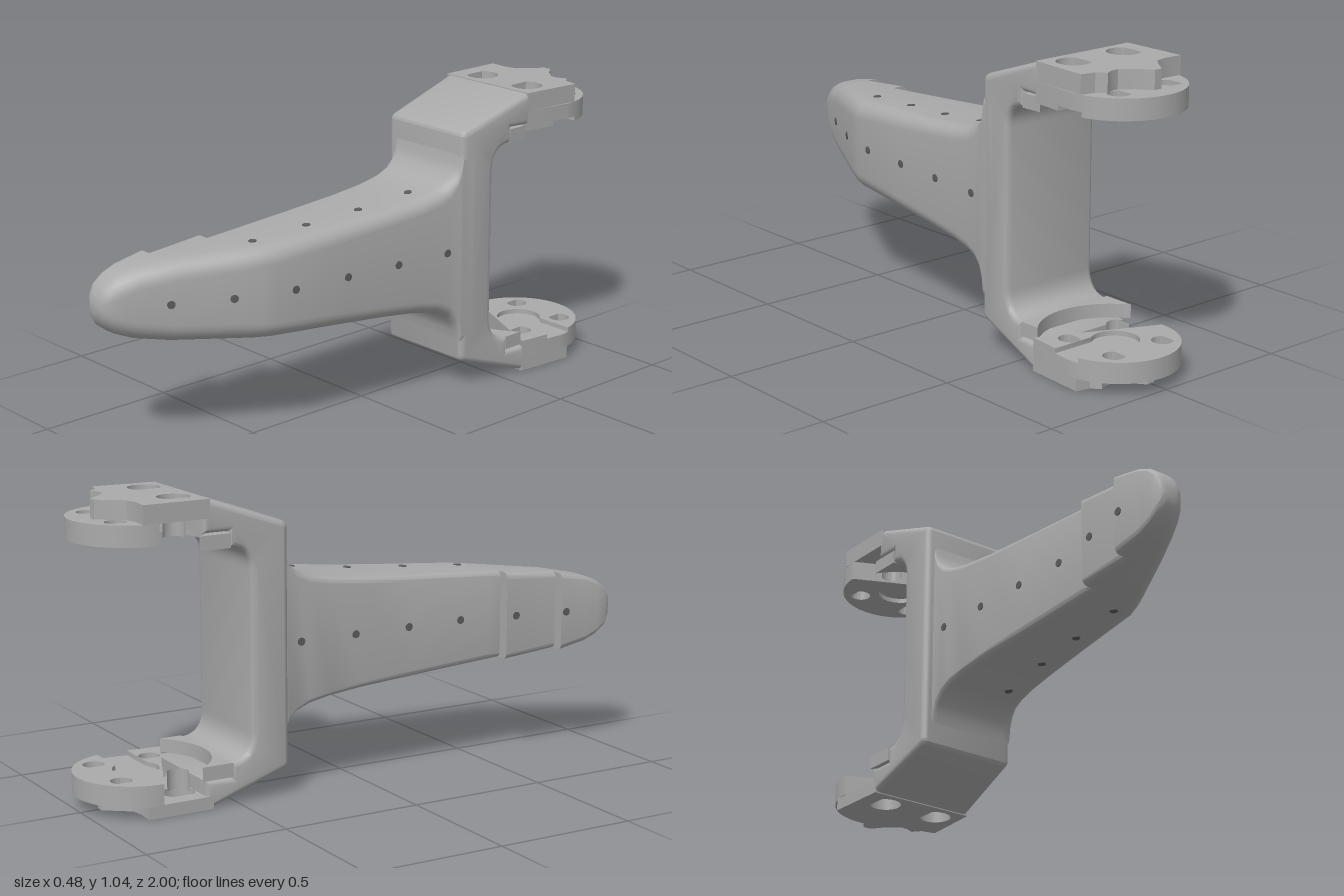
import * as THREE from 'three';
import { toCreasedNormals } from 'three/addons/utils/BufferGeometryUtils.js';

const H = 1.045, MID = H / 2;
const CX = 0.02, CZ = -0.785, R = 0.215; // centre and radius of the round mounts

// slanting right-hand face shared by the arm and the yoke
const rightFace = z => 0.105 + (0.5 - z) * 0.1;

// arm stations: z, left x, right x, half height, right corner radius
const STATIONS = [
  [1, -0.22, -0.17, 0.02, 0.02], [0.993, -0.232, -0.15, 0.045, 0.035], [0.975, -0.24, -0.132, 0.073, 0.05],
  [0.94, -0.24, -0.112, 0.1, 0.06], [0.89, -0.24, -0.088, 0.12, 0.065], [0.78, -0.24, -0.035, 0.14, 0.065],
  [0.78, -0.2, -0.035, 0.14, 0.065], [0.57, -0.2, 0.068, 0.157, 0.065], [0.57, -0.158, 0.068, 0.157, 0.065],
  [0.52, -0.158, 0.09, 0.16, 0.06], [0.47, -0.158, 0.108, 0.163, 0.06], [0.2, -0.158, rightFace(0.2), 0.18, 0.055],
  [0, -0.158, rightFace(0), 0.194, 0.05], [-0.13, -0.158, rightFace(-0.13), 0.208, 0.05],
  [-0.21, -0.158, rightFace(-0.21), 0.224, 0.05], [-0.26, -0.158, rightFace(-0.26), 0.245, 0.05],
  [-0.29, -0.158, rightFace(-0.29), 0.275, 0.045], [-0.305, -0.158, rightFace(-0.305), 0.31, 0.04],
  [-0.313, -0.158, rightFace(-0.313), 0.36, 0.04], [-0.36, -0.158, rightFace(-0.36), 0.37, 0.04],
];

// interpolated value of one station column at z
function armAt(z, col) {
  for (let i = 0; i < STATIONS.length - 1; i++) {
    const a = STATIONS[i], b = STATIONS[i + 1];
    if (a[0] > b[0] && z <= a[0] && z >= b[0])
      return a[col] + (b[col] - a[col]) * (a[0] - z) / (a[0] - b[0]);
  }
  return 0;
}

// rounded cross-sections joined along z
function armGeometry() {
  const pos = [], idx = [], SEG = 6, N = 4 * (SEG + 1);
  for (const [z, xl, xr, h, rr] of STATIONS) {
    const rl = Math.min(0.022, h * 0.9);
    const corners = [[xr - rr, h - rr, rr], [xl + rl, h - rl, rl], [xl + rl, rl - h, rl], [xr - rr, rr - h, rr]];
    corners.forEach(([x, y, r], q) => {
      for (let s = 0; s <= SEG; s++) {
        const t = (q + s / SEG) * Math.PI / 2;
        pos.push(x + r * Math.cos(t), MID + y + r * Math.sin(t), z);
      }
    });
  }
  for (let i = 0; i < STATIONS.length - 1; i++) {
    for (let j = 0; j < N; j++) {
      const a = i * N + j, b = i * N + (j + 1) % N;
      idx.push(a, a + N, b, b, a + N, b + N);
    }
  }
  const tip = pos.length / 3;
  pos.push(-0.195, MID, 1);
  for (let j = 0; j < N; j++) idx.push(tip, j, (j + 1) % N);
  const g = new THREE.BufferGeometry();
  g.setAttribute('position', new THREE.Float32BufferAttribute(pos, 3));
  g.setIndex(idx);
  return toCreasedNormals(g, 0.6);
}

// C-shaped side profile extruded across x, its right side following the slant
function yokeGeometry() {
  const s = new THREE.Shape();
  s.moveTo(-0.31, 0.12);
  s.lineTo(-0.31, 0.925);
  s.quadraticCurveTo(-0.31, 0.943, -0.33, 0.95);
  s.lineTo(-0.61, H);
  s.lineTo(-0.625, H);
  s.lineTo(-0.625, 0.93);
  s.lineTo(-0.53, 0.93);
  s.lineTo(-0.53, 0.876);
  s.bezierCurveTo(-0.48, 0.876, -0.45, 0.845, -0.45, 0.79);
  s.lineTo(-0.45, 0.235);
  s.bezierCurveTo(-0.45, 0.18, -0.48, 0.148, -0.53, 0.148);
  s.lineTo(-0.53, 0.095);
  s.lineTo(-0.625, 0.095);
  s.lineTo(-0.625, 0);
  s.lineTo(-0.61, 0);
  s.lineTo(-0.33, 0.095);
  s.quadraticCurveTo(-0.31, 0.102, -0.31, 0.12);
  const b = 0.02;
  const g = new THREE.ExtrudeGeometry(s, {
    depth: 0.39 - 2 * b, bevelThickness: b, bevelSize: b, bevelOffset: -b, bevelSegments: 3, curveSegments: 10,
  });
  g.rotateY(-Math.PI / 2).translate(0.2 - b, 0, 0);
  const p = g.attributes.position;
  for (let i = 0; i < p.count; i++)
    if (p.getX(i) > 0) p.setX(i, p.getX(i) + rightFace(p.getZ(i)) - 0.2);
  return toCreasedNormals(g, 0.6);
}

// flat plate from an outline in x and z
function slab(shape, y0, y1) {
  const g = new THREE.ExtrudeGeometry(shape, { depth: y1 - y0, bevelEnabled: false, curveSegments: 28 });
  g.rotateX(Math.PI / 2).translate(0, y1, 0);
  return toCreasedNormals(g, 0.5);
}

// round hole with a pointed side
function teardrop(x, z, r) {
  const p = new THREE.Path();
  p.moveTo(x - r * 1.35, z);
  p.absarc(x, z, r, -Math.PI * 0.76, Math.PI * 0.76, false);
  p.closePath();
  return p;
}

function screwHoles(shape) {
  for (const x of [-0.09, 0.13]) for (const z of [-0.682, -0.89]) shape.holes.push(teardrop(x, z, 0.037));
  return shape;
}

function discShape() {
  const s = new THREE.Shape();
  s.moveTo(-0.19, -0.6);
  s.absarc(CX, CZ, R, Math.PI, 2 * Math.PI, false);
  s.lineTo(rightFace(-0.6), -0.6);
  s.closePath();
  return screwHoles(s);
}

// inner face of the mount, with a round pocket and a slot open to the side
function pocketShape() {
  const s = new THREE.Shape();
  s.moveTo(-0.19, -0.6);
  s.absarc(CX, CZ, R, Math.PI, 2 * Math.PI - 0.21, false);
  s.absarc(CX, CZ, 0.08, -0.6, 0.95 - 2 * Math.PI, true);
  s.lineTo(0.228, -0.72);
  s.lineTo(rightFace(-0.6), -0.6);
  s.closePath();
  return screwHoles(s);
}

// outer block with a toothed rear edge and two counterbores
function blockShape() {
  const s = new THREE.Shape([
    [-0.19, -0.6], [-0.192, -0.84], [-0.125, -0.835], [-0.08, -0.845], [-0.05, -0.88], [-0.015, -0.93],
    [0.015, -0.93], [0.05, -0.885], [0.095, -0.848], [0.125, -0.85], [0.155, -0.865], [0.18, -0.835],
    [0.232, -0.825], [rightFace(-0.6), -0.6],
  ].map(([x, z]) => new THREE.Vector2(x, z)));
  for (const x of [-0.09, 0.13]) s.holes.push(teardrop(x, -0.682, 0.056));
  return s;
}

// raised lip curving round the mount
function lipShape() {
  const s = new THREE.Shape();
  s.moveTo(rightFace(-0.53) - 0.005, -0.525);
  s.lineTo(-0.19, -0.525);
  s.absarc(CX, CZ, 0.255, Math.PI - 0.6, 0.78, true);
  s.closePath();
  return s;
}

export function createModel() {
  const model = new THREE.Group();
  model.name = 'yokeArm';
  const grey = new THREE.MeshStandardMaterial({ color: 0xaaaaaa });
  grey.name = 'grey';
  const dark = new THREE.MeshStandardMaterial({ color: 0x5c5c5c });
  dark.name = 'holeGrey';
  const add = (name, geometry, parent = model, material = grey) => {
    const m = new THREE.Mesh(geometry, material);
    m.name = name;
    parent.add(m);
    return m;
  };

  add('arm', armGeometry());
  add('yoke', yokeGeometry());

  // upper and lower mounts, the lower one set slightly further out
  for (const upper of [true, false]) {
    const mount = new THREE.Group();
    mount.name = upper ? 'upperMount' : 'lowerMount';
    model.add(mount);
    const layer = (name, shape, a, b) => {
      const f = y => (upper ? y : y === H ? 0 : H - y - 0.021);
      add(name, slab(shape, Math.min(f(a), f(b)), Math.max(f(a), f(b))), mount);
    };
    layer('block', blockShape(), 0.98, H);
    layer('disc', discShape(), 0.925, 0.98);
    layer('pocketFace', pocketShape(), 0.908, 0.925);
    layer('lip', lipShape(), 0.876, 0.925);
  }

  // small drilled holes along the arm
  const up = new THREE.Vector3(0, 1, 0);
  const drill = (x, y, z, normal) => {
    const m = add('drilledHole', new THREE.CylinderGeometry(0.014, 0.014, 0.006, 14), model, dark);
    m.position.set(x, y, z);
    m.quaternion.setFromUnitVectors(up, normal.normalize());
  };
  const slope = (z, col) => (armAt(z + 0.02, col) - armAt(z - 0.02, col)) / 0.04;
  for (const z of [0.8, 0.61, 0.4, 0.185, -0.03, -0.245]) {
    drill(armAt(z, 2), MID, z, new THREE.Vector3(1, 0, -slope(z, 2)));
    drill(armAt(z, 1), MID, z, new THREE.Vector3(-1, 0, 0));
  }
  [[0, 0.49], [0.02, 0.27], [0.043, 0.055], [0.065, -0.16]].forEach(([x, z]) => {
    for (const s of [1, -1])
      drill(x, MID + s * armAt(z, 3), z, new THREE.Vector3(0, s, -slope(z, 3)));
  });
  return model;
}
